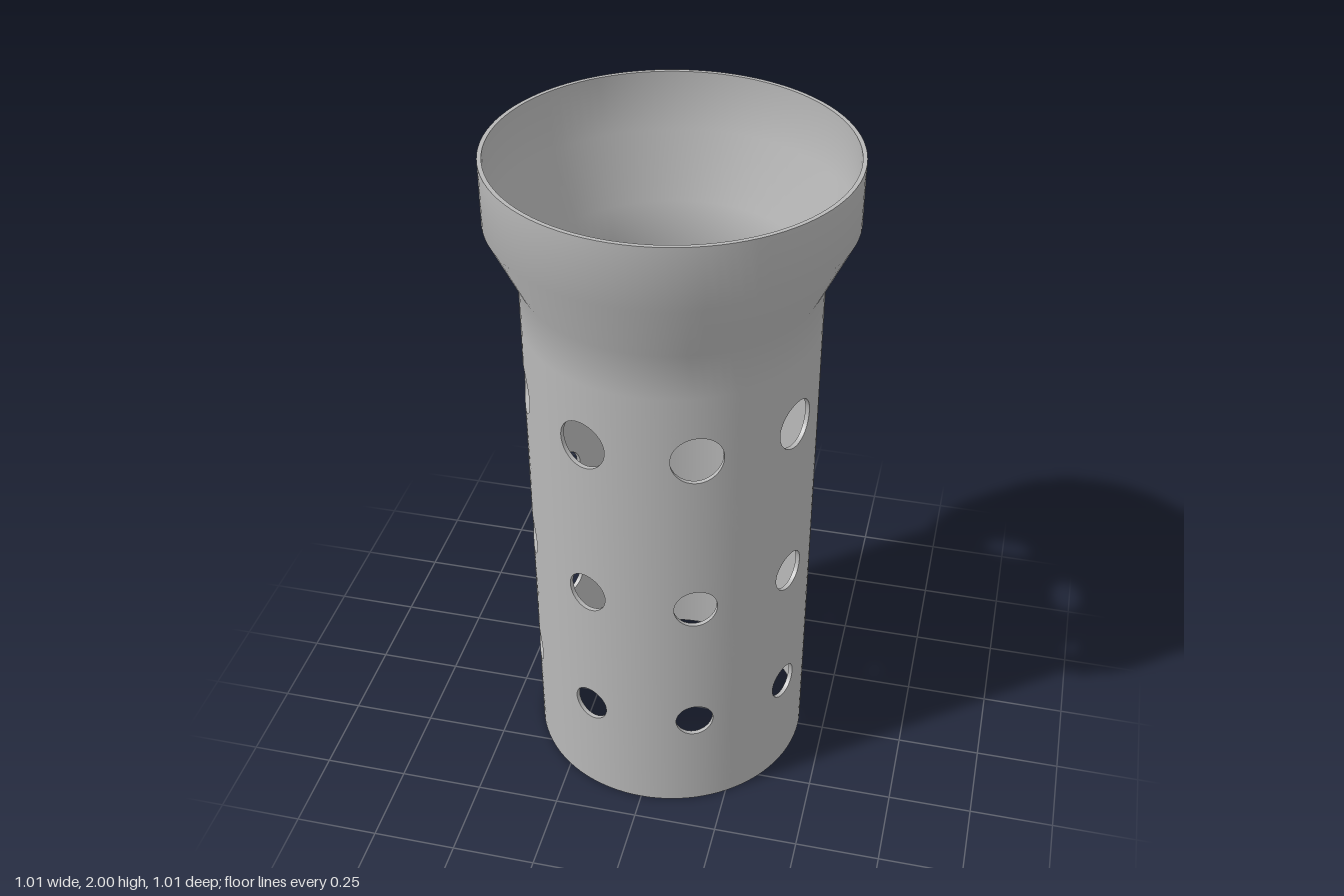
import * as THREE from 'three';

const OUTER = 0.42, INNER = 0.407;   // tube wall radii
const SIDES = 8, STEPS = 12;         // holes per row, segments per panel
const HALF = Math.PI / SIDES;        // half the angle of one panel
const LOOP = STEPS * 4;              // points around one hole

// Quad grid; point(i, j) returns [x, y, z, nx, ny, nz]
function grid(cols, rows, point, flip = false) {
  const pos = [], nor = [], idx = [];
  for (let j = 0; j <= rows; j++) {
    for (let i = 0; i <= cols; i++) {
      const p = point(i, j);
      pos.push(p[0], p[1], p[2]);
      nor.push(p[3], p[4], p[5]);
      if (i === cols || j === rows) continue;
      const a = j * (cols + 1) + i, b = a + cols + 1;
      if (flip) idx.push(a, b + 1, b, a, a + 1, b + 1);
      else idx.push(a, b, b + 1, a, b + 1, a + 1);
    }
  }
  const g = new THREE.BufferGeometry();
  g.setAttribute('position', new THREE.Float32BufferAttribute(pos, 3));
  g.setAttribute('normal', new THREE.Float32BufferAttribute(nor, 3));
  g.setIndex(idx);
  return g;
}

const holeAngle = (i) => (i / LOOP) * Math.PI * 2 - Math.PI / 4;

// Point i of a square outline, counter-clockwise from the lower right corner
function squarePoint(i) {
  const side = Math.floor(i / STEPS) % 4;
  const t = ((i % STEPS) / STEPS) * 2 - 1;
  return [[1, t], [-t, 1], [-1, -t], [t, -1]][side];
}

// Curved wall panel blending from a round hole to the panel's straight edges
function panel(radius, row, inside) {
  const layers = 6, sign = inside ? -1 : 1;
  return grid(LOOP, layers, (i, j) => {
    const a = holeAngle(i), [sx, sy] = squarePoint(i), k = j / layers;
    const th = THREE.MathUtils.lerp(Math.asin(row.r * Math.cos(a) / radius), sx * HALF, k);
    const edgeY = THREE.MathUtils.lerp(row.y0, row.y1, (sy + 1) / 2);
    const y = THREE.MathUtils.lerp(row.y + row.r * Math.sin(a), edgeY, k);
    const s = Math.sin(th), c = Math.cos(th);
    return [radius * s, y, radius * c, sign * s, 0, sign * c];
  }, inside);
}

// Wall thickness visible inside a hole
function bore(row) {
  return grid(LOOP, 1, (i, j) => {
    const a = holeAngle(i), R = j ? OUTER : INNER;
    const x = row.r * Math.cos(a);
    return [x, row.y + row.r * Math.sin(a), Math.sqrt(R * R - x * x), -Math.cos(a), -Math.sin(a), 0];
  });
}

export function createModel() {
  const model = new THREE.Group();
  const grey = new THREE.MeshStandardMaterial({ color: 0xb8b8b8 });
  grey.name = 'grey';

  const add = (parent, name, geometry) => {
    const mesh = new THREE.Mesh(geometry, grey);
    mesh.name = name;
    parent.add(mesh);
    return mesh;
  };

  // Perforated tube: three rows of eight holes
  const rows = [
    { name: 'lowerHoleRow', y: 0.335, r: 0.056, y0: 0, y1: 0.56 },
    { name: 'middleHoleRow', y: 0.777, r: 0.063, y0: 0.56, y1: 1.03 },
    { name: 'upperHoleRow', y: 1.30, r: 0.074, y0: 1.03, y1: 1.5 },
  ];
  for (const row of rows) {
    const group = new THREE.Group();
    group.name = row.name;
    model.add(group);
    const parts = {
      outerWall: panel(OUTER, row, false),
      innerWall: panel(INNER, row, true),
      holeEdge: bore(row),
    };
    for (let k = 0; k < SIDES; k++) {
      for (const [name, geometry] of Object.entries(parts)) {
        add(group, name, geometry).rotation.y = (2 * k + 1) * HALF;
      }
    }
  }

  // Flared collar and the flat rims
  const turned = (name, points) => add(model, name,
    new THREE.LatheGeometry(points.map(([r, y]) => new THREE.Vector2(r, y)), SIDES * STEPS));
  turned('collarOutside', [[OUTER, 1.5], [OUTER, 1.635], [0.507, 1.82], [0.507, 2]]);
  turned('collarInside', [[0.495, 2], [0.495, 1.82], [INNER, 1.635], [INNER, 1.5]]);
  turned('topRim', [[0.507, 2], [0.495, 2]]);
  turned('bottomRim', [[INNER, 0], [OUTER, 0]]);

  return model;
}
